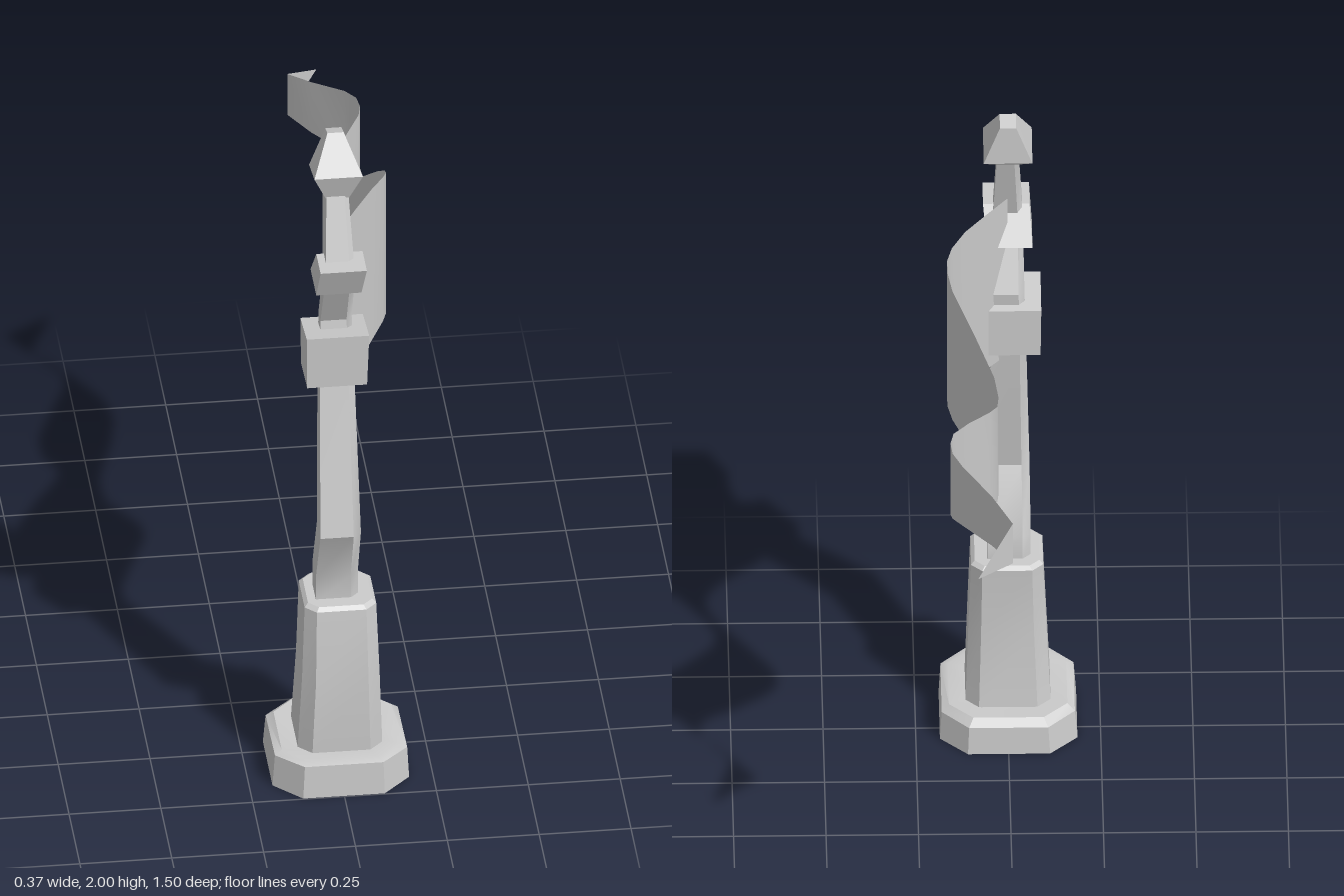
import * as THREE from 'three';
import { toCreasedNormals } from 'three/addons/utils/BufferGeometryUtils.js';

const material = new THREE.MeshStandardMaterial({ color: 0xcccccc, side: THREE.DoubleSide });

// Rectangular section with optional corner cuts [frontLeft, frontRight, backRight, backLeft];
// tilt raises the front edge relative to the back.
function section(y, x0, x1, z0, z1, cuts = [0, 0, 0, 0], tilt = 0) {
  const [a, b, c, d] = cuts;
  const pts = [];
  const corner = (cut, first, second) => {
    pts.push(first);
    if (cut > 0) pts.push(second);
  };
  corner(a, [x0, z1 - a], [x0 + a, z1]);
  corner(b, [x1 - b, z1], [x1, z1 - b]);
  corner(c, [x1, z0 + c], [x1 - c, z0]);
  corner(d, [x0 + d, z0], [x0, z0 + d]);
  const zMid = (z0 + z1) / 2;
  return pts.map(([x, z]) => [x, y + tilt * (z - zMid), z]);
}

// Skin a stack of sections, optionally closing the ends
function loft(name, rings, { top = true, bottom = true, crease = 0.5 } = {}) {
  const n = rings[0].length;
  const index = [];
  for (let r = 0; r < rings.length - 1; r++) {
    for (let i = 0; i < n; i++) {
      const a = r * n + i, b = r * n + (i + 1) % n;
      index.push(a, b, b + n, a, b + n, a + n);
    }
  }
  const last = (rings.length - 1) * n;
  for (let i = 1; i < n - 1; i++) {
    if (bottom) index.push(0, i + 1, i);
    if (top) index.push(last, last + i, last + i + 1);
  }
  const geometry = new THREE.BufferGeometry();
  geometry.setAttribute('position', new THREE.Float32BufferAttribute(rings.flat(2), 3));
  geometry.setIndex(index);
  const mesh = new THREE.Mesh(toCreasedNormals(geometry, crease), material);
  mesh.name = name;
  return mesh;
}

// Strip of cloth between a top and a bottom edge: stations of [x, z, yTop, yBottom]
function cloth(name, stations) {
  const position = [], index = [];
  stations.forEach(([x, z, yTop, yBottom], i) => {
    position.push(x, yBottom, z, x, yTop, z);
    if (i > 0) {
      const k = 2 * i - 2;
      index.push(k, k + 2, k + 3, k, k + 3, k + 1);
    }
  });
  const geometry = new THREE.BufferGeometry();
  geometry.setAttribute('position', new THREE.Float32BufferAttribute(position, 3));
  geometry.setIndex(index);
  geometry.computeVertexNormals();
  const mesh = new THREE.Mesh(geometry, material);
  mesh.name = name;
  return mesh;
}

const even = (c) => [c, c, c, c];

export function createModel() {
  const model = new THREE.Group();
  model.name = 'bannerPost';

  // Hollow octagonal foot
  model.add(loft('foot', [
    section(0, -0.187, 0.185, 0.375, 0.747, even(0.075)),
    section(0.09, -0.18, 0.18, 0.38, 0.742, even(0.073), 0.04),
    section(0.103, -0.16, 0.16, 0.4, 0.722, even(0.065)),
    section(0.1, -0.1, 0.1, 0.47, 0.67, even(0.035)),
  ], { top: false, bottom: false }));

  // Tapered, slightly bent plinth
  model.add(loft('plinth', [
    section(0.1, -0.115, 0.115, 0.452, 0.68, even(0.036)),
    section(0.33, -0.104, 0.107, 0.478, 0.686, even(0.034)),
    section(0.54, -0.095, 0.1, 0.467, 0.663, even(0.03)),
    section(0.55, -0.085, 0.09, 0.477, 0.652, even(0.027)),
  ], { bottom: false }));

  // Crooked post: [y, x0, x1, z0, z1, corner cut]
  const post = [
    [0.54, -0.062, 0.056, 0.51, 0.612, 0.022],
    [0.62, -0.062, 0.055, 0.51, 0.612, 0.022],
    [0.8, -0.06, 0.053, 0.595, 0.7, 0.022],
    [1.24, -0.05, 0.046, 0.53, 0.608, 0.018],
    [1.42, -0.045, 0.042, 0.512, 0.575, 0.016],
    [1.61, -0.042, 0.04, 0.598, 0.668, 0.014],
    [1.84, -0.03, 0.03, 0.532, 0.588, 0.012],
  ];
  model.add(loft('post', post.map(([y, x0, x1, z0, z1, c]) =>
    section(y, x0, x1, z0, z1, [0, c, 0, c]))));

  // Lower and upper blocks around the post
  model.add(loft('lowerCollar', [
    section(1.24, -0.088, 0.075, 0.492, 0.635, even(0), 0.07),
    section(1.393, -0.09, 0.08, 0.492, 0.642, even(0), 0.17),
  ]));
  model.add(loft('upperCollar', [
    section(1.561, -0.067, 0.056, 0.532, 0.665),
    section(1.656, -0.06, 0.066, 0.606, 0.706),
  ]));

  // Faceted finial leaning back
  model.add(loft('finial', [
    section(1.828, -0.032, 0.032, 0.535, 0.59, even(0), -0.25),
    section(1.885, -0.066, 0.066, 0.49, 0.615, even(0), 0.25),
    section(1.992, -0.022, 0.022, 0.492, 0.54, even(0), 0.3),
  ], { crease: 0.1 }));

  // Rippling banner and its folded tip
  const banner = [
    [0.0, 0.575, 1.695, 1.18],
    [0.06, 0.48, 1.707, 1.196],
    [0.118, 0.39, 1.715, 1.23],
    [0.155, 0.325, 1.707, 1.245],
    [0.168, 0.285, 1.695, 1.244],
    [0.168, 0.25, 1.68, 1.24],
    [0.155, 0.205, 1.65, 1.225],
    [0.095, 0.11, 1.565, 1.173],
    [0.045, 0.03, 1.487, 1.146],
    [0.034, -0.02, 1.455, 1.138],
    [0.038, -0.075, 1.464, 1.15],
    [0.06, -0.12, 1.476, 1.168],
    [0.115, -0.205, 1.503, 1.21],
    [0.16, -0.28, 1.52, 1.26],
    [0.169, -0.325, 1.52, 1.285],
    [0.164, -0.37, 1.518, 1.303],
    [0.138, -0.42, 1.51, 1.315],
    [0.06, -0.52, 1.48, 1.318],
    [0.005, -0.61, 1.453, 1.322],
  ];
  model.add(cloth('banner', banner));
  model.add(cloth('bannerTip', [banner[banner.length - 1], [0.1, -0.75, 1.371, 1.37]]));

  return model;
}
